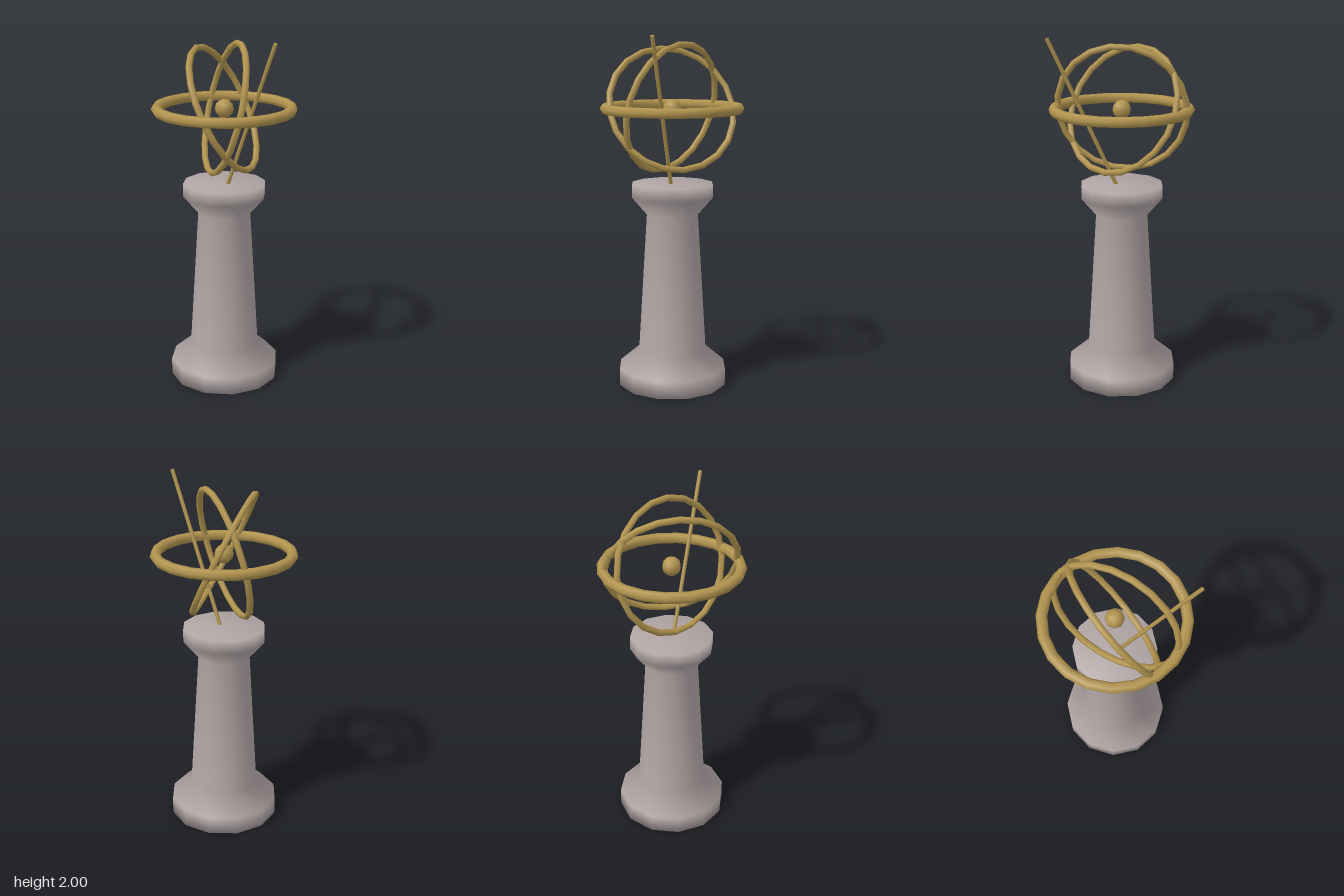
import * as THREE from 'three';

export function createModel() {
  const group = new THREE.Group();
  const stone = new THREE.MeshStandardMaterial({ color: 0xb0a4a4 });
  stone.name = 'stone';
  const brass = new THREE.MeshStandardMaterial({ color: 0xb3954f });
  brass.name = 'brass';

  const axisZ = -0.013; // pedestal and rings share this axis
  const centre = new THREE.Vector3(0, 1.597, axisZ);

  function add(name, geometry, material, position) {
    const mesh = new THREE.Mesh(geometry, material);
    mesh.name = name;
    mesh.position.copy(position);
    group.add(mesh);
    return mesh;
  }

  // Twelve-sided turned pedestal with closed ends
  const profile = [
    [0, 0], [0.315, 0], [0.315, 0.1], [0.2, 0.2],
    [0.15, 1.0], [0.235, 1.1], [0.235, 1.175], [0, 1.175],
  ].map(([r, y]) => new THREE.Vector2(r, y));
  add('pedestal', new THREE.LatheGeometry(profile, 12), stone, new THREE.Vector3(0, 0, axisZ));

  // Armillary rings: name, radius, tube radius, tilt about x and y
  const rings = [
    ['horizonRing', 0.375, 0.03, Math.PI / 2, 0],
    ['innerRingA', 0.364, 0.018, -0.52, 0.52],
    ['innerRingB', 0.364, 0.018, 0.5, 1.05],
  ];
  for (const [name, radius, tube, rx, ry] of rings) {
    const ring = add(name, new THREE.TorusGeometry(radius, tube, 6, 20), brass, centre);
    ring.rotation.set(rx, ry, 0);
  }

  // Small globe in the middle
  add('globe', new THREE.SphereGeometry(0.053, 8, 6), brass, centre);

  // Slanted pointer rod rising out of the pedestal top
  const foot = new THREE.Vector3(0, 1.13, 0);
  const tip = new THREE.Vector3(0, 1.995, 0.4);
  const direction = tip.clone().sub(foot);
  const rod = add('pointerRod', new THREE.CylinderGeometry(0.011, 0.011, direction.length(), 6),
    brass, foot.clone().add(tip).multiplyScalar(0.5));
  rod.quaternion.setFromUnitVectors(new THREE.Vector3(0, 1, 0), direction.normalize());

  return group;
}
